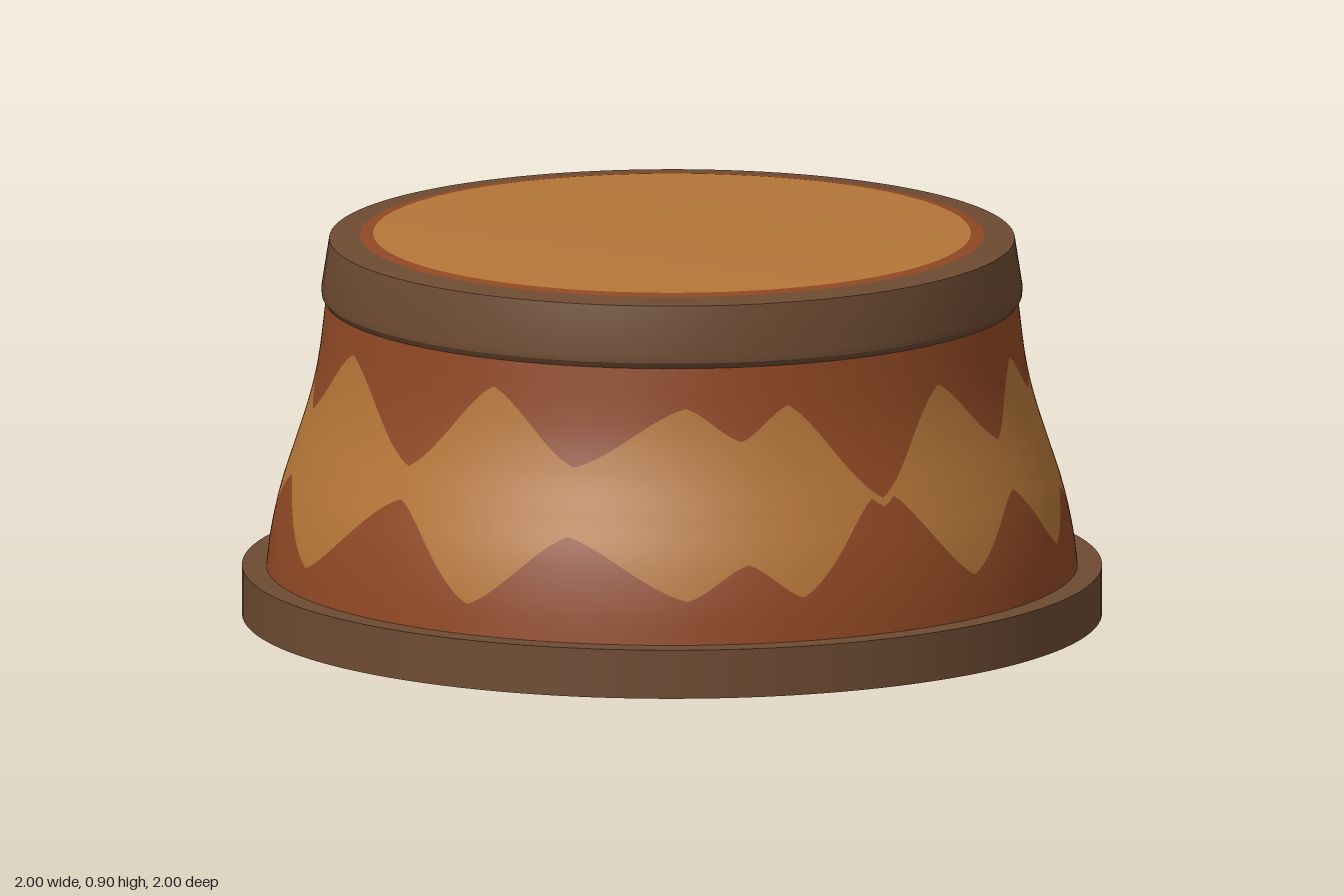
import * as THREE from 'three';
import { toCreasedNormals } from 'three/addons/utils/BufferGeometryUtils.js';

const mat = (name, color) => {
  const m = new THREE.MeshStandardMaterial({ color });
  m.name = name;
  return m;
};

// Body radius at a height, smoothly interpolated
const PROFILE = [[0.1, 0.945], [0.2, 0.932], [0.3, 0.91], [0.4, 0.878], [0.5, 0.846], [0.6, 0.823], [0.76, 0.803]];
function radiusAt(y) {
  let i = 0;
  while (i < PROFILE.length - 2 && y > PROFILE[i + 1][0]) i++;
  const slope = (k) => {
    const a = PROFILE[Math.max(k - 1, 0)], b = PROFILE[Math.min(k + 1, PROFILE.length - 1)];
    return (b[1] - a[1]) / (b[0] - a[0]);
  };
  const [y0, r0] = PROFILE[i], [y1, r1] = PROFILE[i + 1], h = y1 - y0, t = (y - y0) / h;
  const t2 = t * t, t3 = t2 * t;
  return r0 * (2 * t3 - 3 * t2 + 1) + slope(i) * h * (t3 - 2 * t2 + t) + r1 * (3 * t2 - 2 * t3) + slope(i + 1) * h * (t3 - t2);
}

// Upper edge of the zigzag band: angle from the front in degrees, height
const WAVE = [
  [-77, 0.64], [-64, 0.49], [-49, 0.63], [-38, 0.51], [-22, 0.68], [-2, 0.47], [13, 0.68], [28, 0.51],
  [46, 0.65], [55, 0.57], [63, 0.65], [78, 0.42], [93, 0.65], [107, 0.49], [118, 0.65], [128, 0.55],
  [140, 0.64], [149, 0.54], [162, 0.66], [177, 0.49], [192, 0.65], [203, 0.5], [216, 0.64], [227, 0.5],
  [241, 0.65], [256, 0.5], [283, 0.64],
];
function bandTop(deg) {
  let i = 0;
  while (i < WAVE.length - 2 && deg > WAVE[i + 1][0]) i++;
  const [a, ya] = WAVE[i], [b, yb] = WAVE[i + 1], t = (deg - a) / (b - a);
  const s = 0.5 * t + 0.5 * t * t * (3 - 2 * t);
  return ya + (yb - ya) * s;
}
const bandBottom = (deg) => Math.min(0.865 - bandTop(deg), bandTop(deg) - 0.02);

// Strip of the body wall between two height functions of the angle
function wall(lower, upper, rows = 10, cols = 360) {
  const pos = [], nor = [], idx = [];
  for (let c = 0; c <= cols; c++) {
    const deg = -77 + (c * 360) / cols, a = THREE.MathUtils.degToRad(deg);
    const y0 = lower(deg), y1 = upper(deg);
    for (let r = 0; r <= rows; r++) {
      const y = y0 + ((y1 - y0) * r) / rows, rad = radiusAt(y);
      const dr = (radiusAt(y + 0.005) - radiusAt(y - 0.005)) / 0.01, l = Math.hypot(1, dr);
      pos.push(rad * Math.sin(a), y, rad * Math.cos(a));
      nor.push(Math.sin(a) / l, -dr / l, Math.cos(a) / l);
      if (c < cols && r < rows) {
        const p = c * (rows + 1) + r, q = p + rows + 1;
        idx.push(p, q, p + 1, q, q + 1, p + 1);
      }
    }
  }
  const g = new THREE.BufferGeometry();
  g.setAttribute('position', new THREE.Float32BufferAttribute(pos, 3));
  g.setAttribute('normal', new THREE.Float32BufferAttribute(nor, 3));
  g.setIndex(idx);
  return g;
}

// Turned part with crisp edges; points run from bottom to top
const turned = (points) =>
  toCreasedNormals(new THREE.LatheGeometry(points.map(([r, y]) => new THREE.Vector2(r, y)), 128), 0.5);

export function createModel() {
  const group = new THREE.Group();
  const brown = mat('dark brown', 0x6e4b32);
  const rust = mat('rust', 0x904824);
  const tan = mat('tan', 0xb47638);
  const add = (name, geometry, material) => {
    const m = new THREE.Mesh(geometry, material);
    m.name = name;
    group.add(m);
  };

  // Round base plate
  add('basePlate', new THREE.CylinderGeometry(1, 1, 0.115, 128), brown);

  // Tapered wall with a zigzag band
  add('lowerWall', wall(() => 0.1, bandBottom), rust);
  add('zigzagBand', wall(bandBottom, bandTop), tan);
  add('upperWall', wall(bandTop, () => 0.76), rust);

  // Collar around the top edge
  add('topCollar', turned([[0.78, 0.735], [0.803, 0.74], [0.814, 0.757], [0.815, 0.775], [0.797, 0.89], [0.725, 0.897]]), brown);

  // Shallow lid with a rust border
  add('lidBorder', turned([[0.725, 0.897], [0.695, 0.901]]), rust);
  add('lid', turned([[0.695, 0.901], [0.64, 0.905], [0, 0.905]]), tan);

  group.getObjectByName('basePlate').position.y = 0.0575;
  return group;
}
